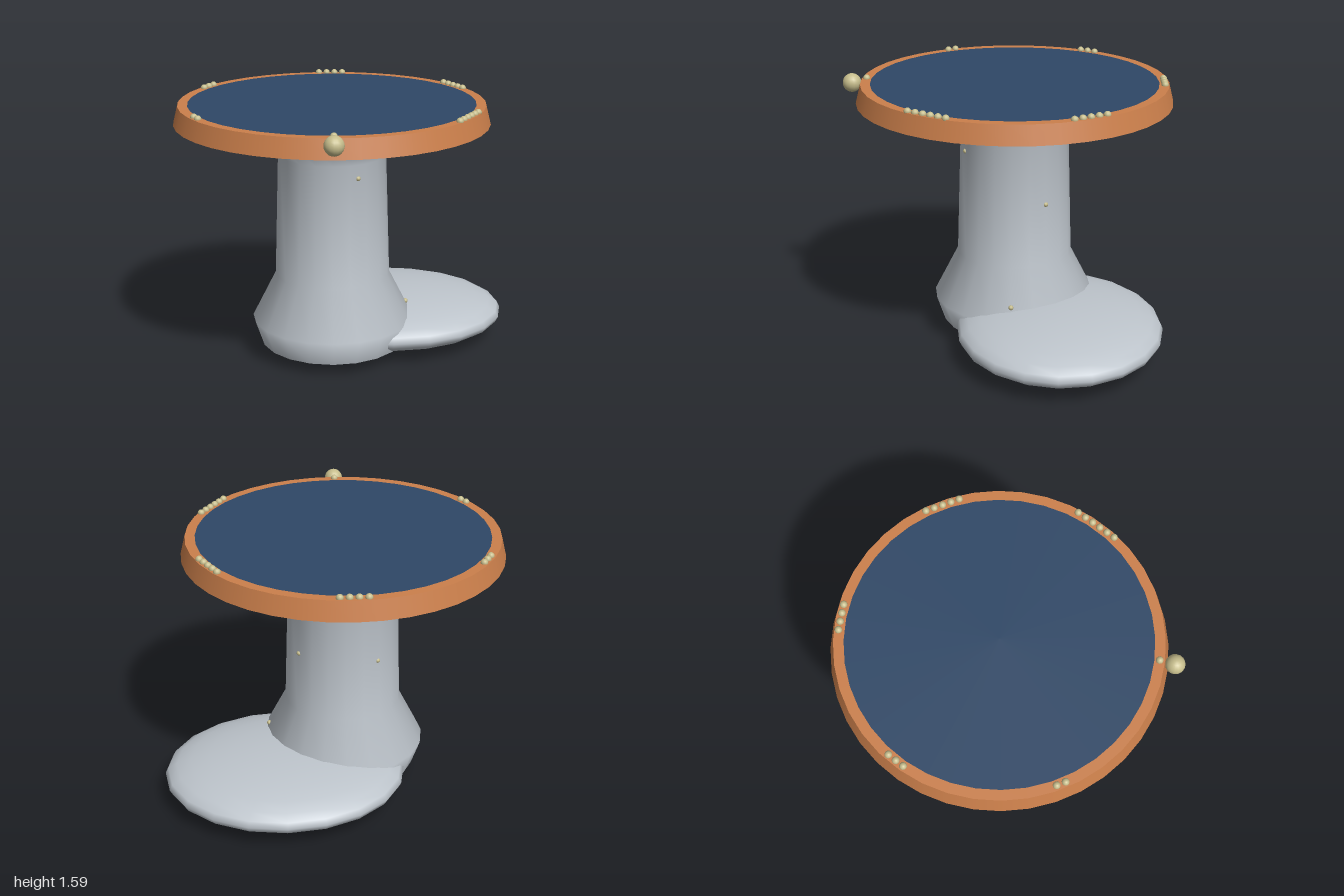
import * as THREE from 'three';

const material = (name, color) => {
  const m = new THREE.MeshStandardMaterial({ color });
  m.name = name;
  return m;
};

export function createModel() {
  const grey = material('pale grey', 0xbdc4cb);
  const copper = material('copper', 0xcb7f4b);
  const navy = material('navy', 0x2e4766);
  const brass = material('pale brass', 0xc6bd8c);

  const model = new THREE.Group();
  model.name = 'pedestalTable';
  // everything but the foot turns about this axis
  const turned = new THREE.Group();
  turned.name = 'turnedParts';
  turned.position.set(-0.075, 0, -0.047);
  model.add(turned);

  const add = (parent, name, geometry, mat, x = 0, y = 0, z = 0) => {
    const mesh = new THREE.Mesh(geometry, mat);
    mesh.name = name;
    mesh.position.set(x, y, z);
    parent.add(mesh);
    return mesh;
  };
  const lathe = (points, segments) =>
    new THREE.LatheGeometry(points.map(([r, y]) => new THREE.Vector2(r, y)), segments);

  // pedestal: swollen base, slim column, flared collar
  add(turned, 'column', lathe([
    [0.437, 0.08], [0.487, 0.23], [0.345, 0.51], [0.32, 1.25], [0.46, 1.415],
  ], 20), grey);
  add(turned, 'columnTop', lathe([[0.46, 1.415], [0, 1.443]], 20), grey);
  add(turned, 'columnBase', lathe([[0, 0.08], [0.437, 0.08]], 20), grey);

  // flattened foot, off to one side
  const foot = add(model, 'foot', new THREE.SphereGeometry(1, 20, 14), grey, 0.285, 0.155, -0.333);
  foot.scale.set(0.712, 0.152, 0.61);

  // table top: copper rim around a navy disc
  add(turned, 'rimSide', lathe([[0.925, 1.45], [0.897, 1.56]], 40), copper);
  add(turned, 'rimTop', lathe([[0.897, 1.56], [0.84, 1.56]], 40), copper);
  add(turned, 'rimUnderside', lathe([[0.84, 1.45], [0.925, 1.45]], 40), copper);
  add(turned, 'tableTop', lathe([[0.84, 1.56], [0, 1.56]], 40), navy);
  add(turned, 'tableUnderside', lathe([[0, 1.45], [0.84, 1.45]], 40), navy);

  // rows of one to six beads at every sixth of the rim
  const bead = new THREE.SphereGeometry(0.021, 12, 8);
  [1, 6, 5, 4, 3, 2].forEach((count, k) => {
    const row = new THREE.Group();
    row.name = 'beadRow' + count;
    row.rotation.y = k * Math.PI / 3;
    for (let i = 0; i < count; i++) {
      add(row, 'bead', bead, brass, (i - (count - 1) / 2) * 0.05, 1.563, 0.868);
    }
    turned.add(row);
  });

  // marker ball on the front edge
  add(turned, 'markerBall', new THREE.SphereGeometry(0.055, 16, 12), brass, 0, 1.535, 0.955);

  // tiny studs just breaking the column's surface
  const stud = new THREE.SphereGeometry(0.015, 8, 6);
  [[0.145, 1.17, 0.28], [0.35, 1.37, 0.235], [0.265, 0.89, -0.193],
    [0.447, 0.31, 0], [-0.184, 0.87, -0.268]].forEach(([x, y, z]) =>
    add(turned, 'stud', stud, brass, x, y, z));

  return model;
}
